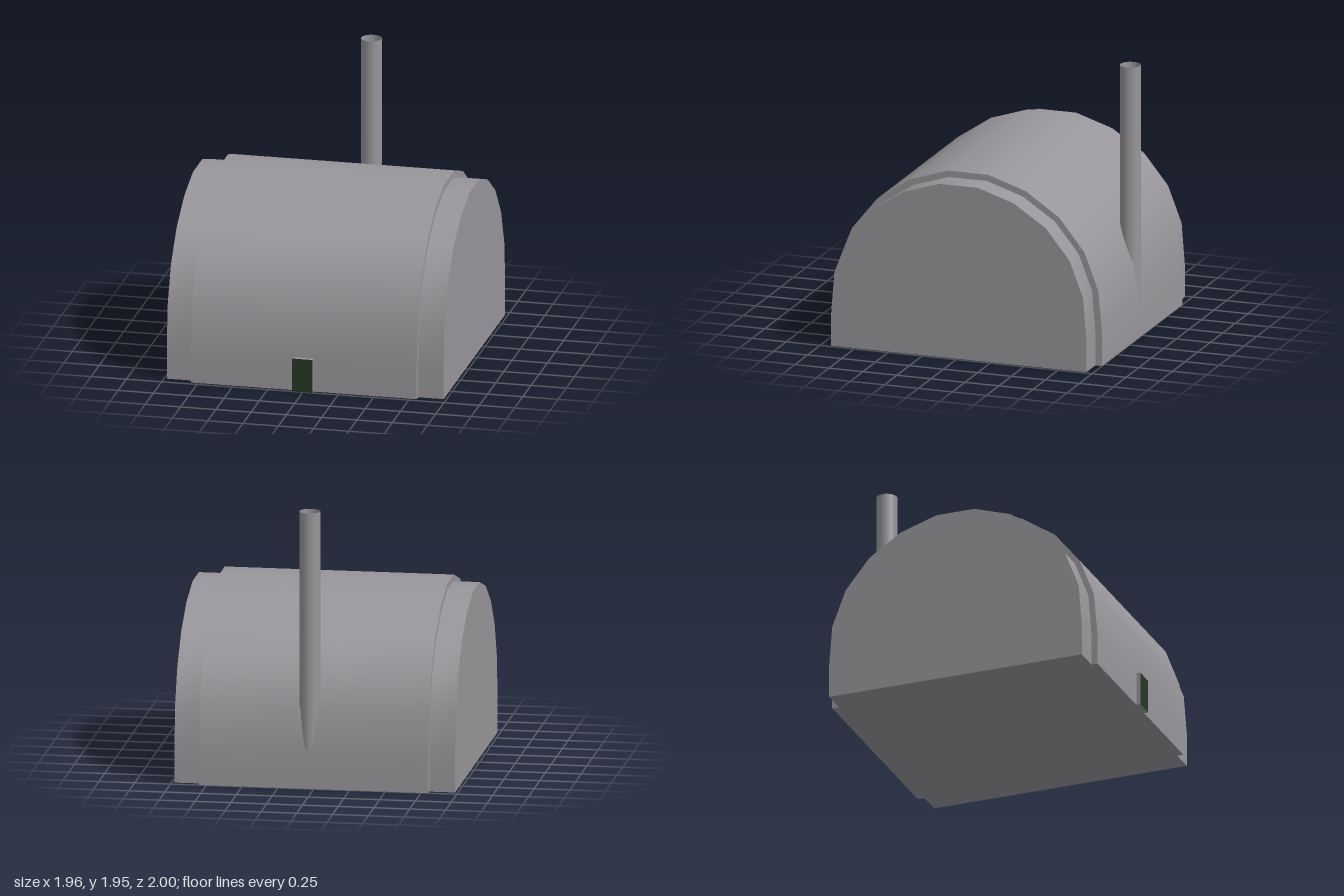
import * as THREE from 'three';
import { toCreasedNormals } from 'three/addons/utils/BufferGeometryUtils.js';

const hullMat = new THREE.MeshStandardMaterial({ color: 0x98969a });
const pipeMat = new THREE.MeshStandardMaterial({ color: 0x98969a, side: THREE.DoubleSide });
const greyMat = new THREE.MeshStandardMaterial({ color: 0xcccccc });
const greenMat = new THREE.MeshStandardMaterial({ color: 0x263824 });

// Half of each arched cross-section, from the ground up: [depth, height]
const OUTER = [[0.985, 0], [0.985, 0.24], [0.958, 0.535], [0.855, 0.805], [0.67, 1.035], [0.425, 1.2], [0.15, 1.29]];
const INNER = [[0.938, 0], [0.938, 0.24], [0.915, 0.53], [0.815, 0.79], [0.64, 1.005], [0.405, 1.16], [0.14, 1.245]];

// Arched block running along x between two positions
function archBlock(name, half, x0, x1, z) {
  const mirrored = half.map(([d, h]) => [-d, h]).reverse();
  const shape = new THREE.Shape([...half, ...mirrored].map(([d, h]) => new THREE.Vector2(d, h)));
  let geo = new THREE.ExtrudeGeometry(shape, { depth: x1 - x0, bevelEnabled: false });
  geo.rotateY(Math.PI / 2);
  geo.translate(x0, 0, z);
  geo = toCreasedNormals(geo, 0.6);
  const mesh = new THREE.Mesh(geo, hullMat);
  mesh.name = name;
  return mesh;
}

export function createModel() {
  const model = new THREE.Group();
  model.name = 'archedHut';

  // Main vault with a slightly smaller end section on each side
  model.add(archBlock('vault', OUTER, -0.8, 0.8, -0.015));
  model.add(archBlock('rightEnd', INNER, -0.98, -0.8, -0.0125));
  model.add(archBlock('leftEnd', INNER, 0.8, 0.98, -0.0125));

  // Small hatch at the front: grey frame with a green face
  const hatchMats = [hullMat, hullMat, hullMat, hullMat, greenMat, hullMat];
  const hatch = new THREE.Mesh(new THREE.BoxGeometry(0.145, 0.24, 0.06), hatchMats);
  hatch.name = 'hatch';
  hatch.position.set(-0.003, 0.12, 0.97);
  model.add(hatch);

  // Open chimney pipe sunk into the back slope
  const chimney = new THREE.Group();
  chimney.name = 'chimney';
  chimney.position.set(0.038, 0, -0.927);
  const pipe = new THREE.Mesh(new THREE.CylinderGeometry(0.073, 0.073, 1.73, 16, 1, true), pipeMat);
  pipe.name = 'chimneyPipe';
  pipe.position.y = 0.22 + 1.73 / 2;
  // Floor closing the inside of the pipe
  const floor = new THREE.Mesh(new THREE.CircleGeometry(0.072, 16), greyMat);
  floor.name = 'chimneyFloor';
  floor.rotation.x = -Math.PI / 2;
  floor.position.y = 0.86;
  chimney.add(pipe, floor);
  model.add(chimney);

  return model;
}
